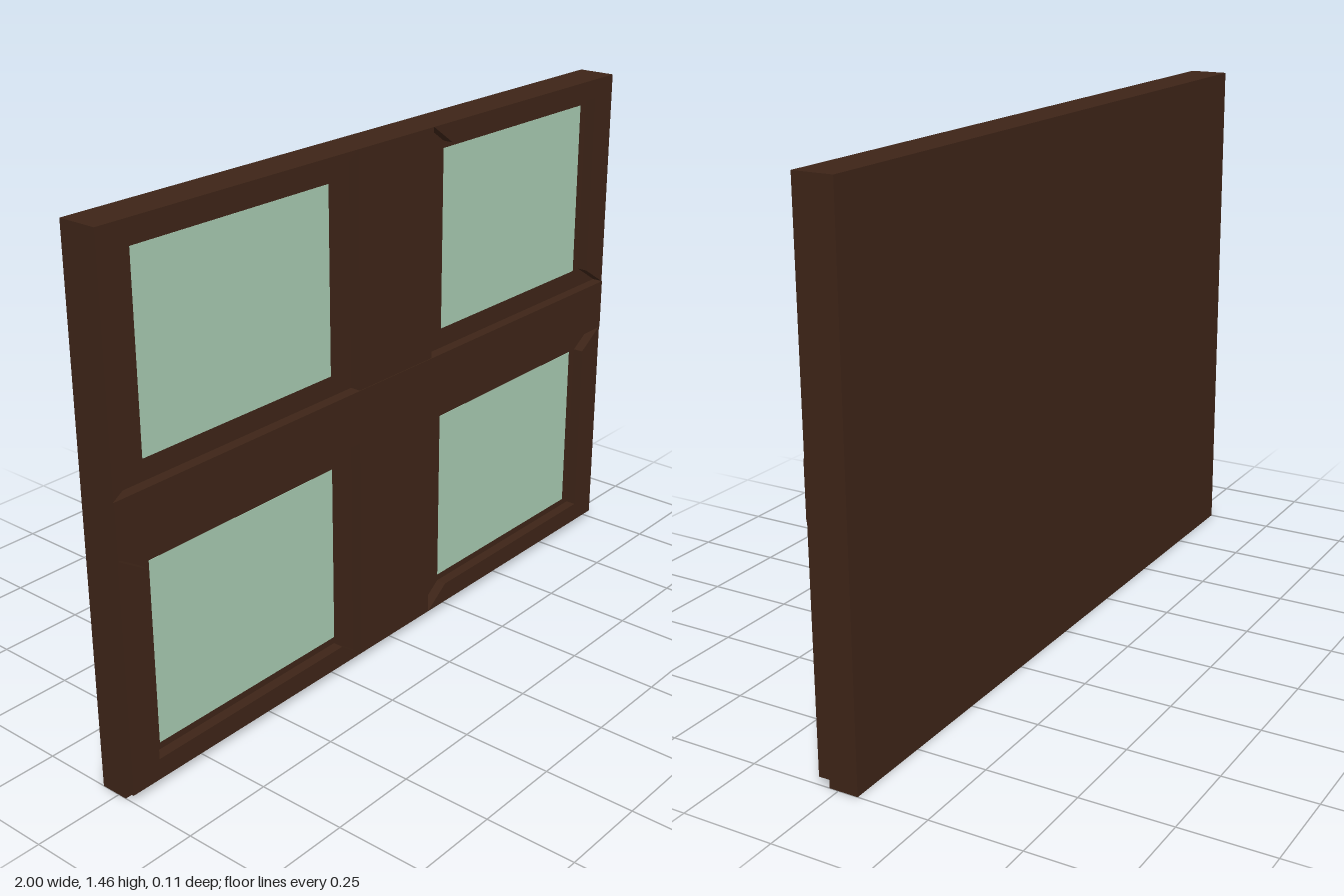
import * as THREE from 'three';

const H = 1.456;      // full height
const BACK = -0.055;  // rear face
const BED = 0.025;    // recessed face behind the frame
const FRONT = 0.055;  // frame face

const wood = new THREE.MeshStandardMaterial({ color: 0x3d2417 });
const glass = new THREE.MeshStandardMaterial({ color: 0xa6c8b0 });

// Box given by its limits on each axis
function block(name, x0, x1, y0, y1, z0, z1, material = wood) {
  const mesh = new THREE.Mesh(new THREE.BoxGeometry(x1 - x0, y1 - y0, z1 - z0), material);
  mesh.position.set((x0 + x1) / 2, (y0 + y1) / 2, (z0 + z1) / 2);
  mesh.name = name;
  return mesh;
}

// Flat outline extruded from the recessed face to the frame face
function slab(name, points) {
  const shape = new THREE.Shape(points.map(([x, y]) => new THREE.Vector2(x, y)));
  const geometry = new THREE.ExtrudeGeometry(shape, { depth: FRONT - BED, bevelEnabled: false });
  geometry.translate(0, 0, BED);
  const mesh = new THREE.Mesh(geometry, wood);
  mesh.name = name;
  return mesh;
}

export function createModel() {
  const model = new THREE.Group();
  model.name = 'window';

  model.add(block('backBoard', -1, 1, 0, H, BACK, BED));

  // Raised cross between the panes
  model.add(block('verticalBar', -0.15, 0.15, 0.022, H, BED, FRONT));
  model.add(block('horizontalBar', -1, 1, 0.665, 0.815, BED, FRONT + 0.002));

  // Each row: outer edge, frame inner edge, pane edges, edge beside the bar
  const rows = [
    { name: 'upper', outer: H, inner: 1.4, far: 1.38, near: 0.872, bar: 0.815 },
    { name: 'lower', outer: 0.022, inner: 0.08, far: 0.1, near: 0.608, bar: 0.665 },
  ];
  for (const r of rows) {
    for (const s of [-1, 1]) {
      const pane = new THREE.Group();
      pane.name = r.name + (s > 0 ? 'LeftPane' : 'RightPane');
      const [x0, x1] = [0.23 * s, 0.88 * s].sort((a, b) => a - b);
      const [y0, y1] = [r.near, r.far].sort((a, b) => a - b);
      pane.add(block('glass', x0, x1, y0, y1, BED - 0.01, BED + 0.001, glass));
      // Mitred outer frame pieces
      pane.add(slab('frameRail', [
        [0.15 * s, r.outer], [s, r.outer], [0.91 * s, r.inner], [0.23 * s, r.inner],
      ]));
      pane.add(slab('frameStile', [
        [s, r.outer], [s, r.bar], [0.91 * s, r.near], [0.91 * s, r.inner],
      ]));
      model.add(pane);
    }
  }
  return model;
}
